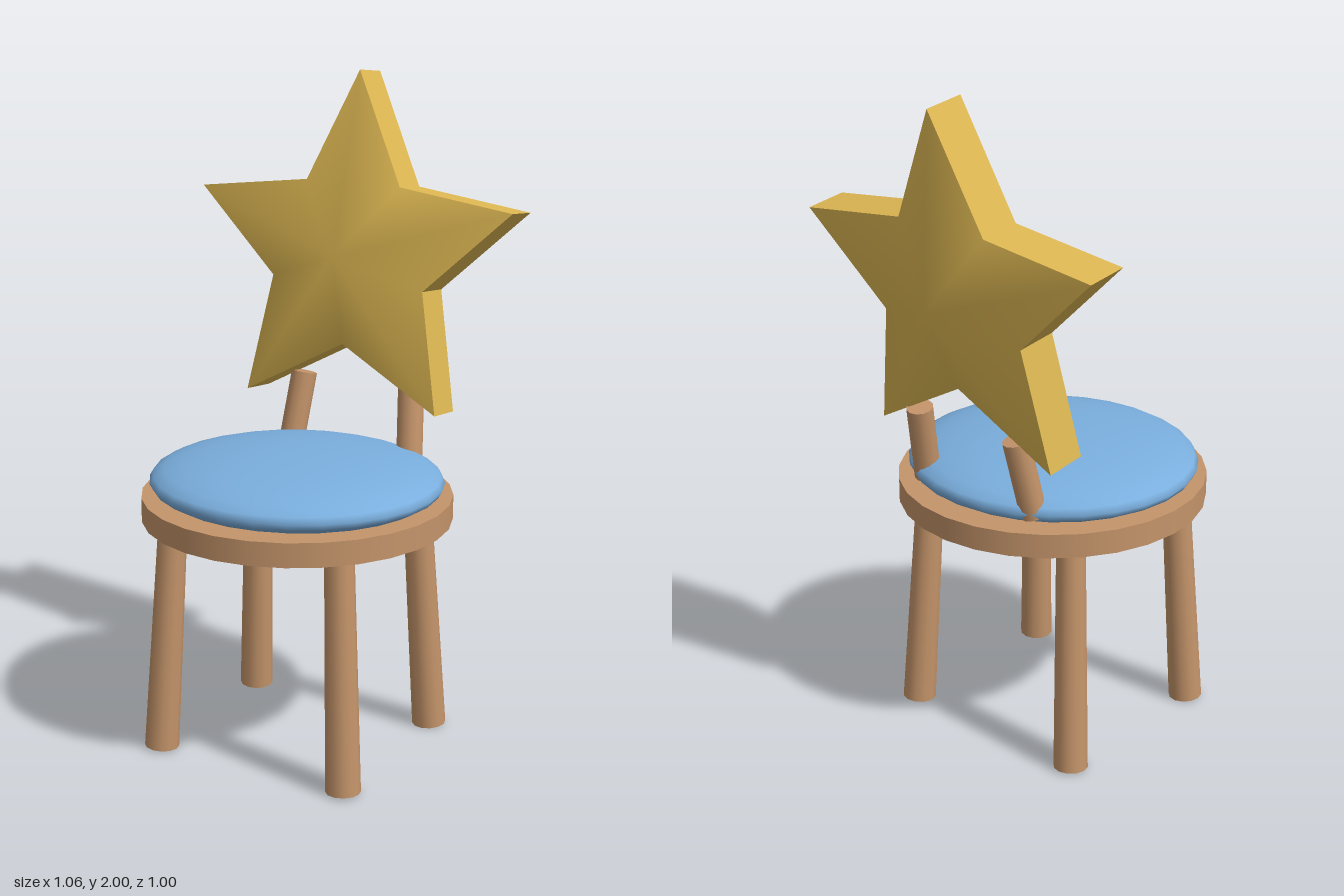
import * as THREE from 'three';

const wood = new THREE.MeshStandardMaterial({ name: 'wood', color: 0xc4946a });
const gold = new THREE.MeshStandardMaterial({ name: 'gold', color: 0xdeb853 });
const blue = new THREE.MeshStandardMaterial({ name: 'cushion blue', color: 0x7aaedd });

function addMesh(parent, name, geometry, material) {
  const mesh = new THREE.Mesh(geometry, material);
  mesh.name = name;
  parent.add(mesh);
  return mesh;
}

// Round rod running from one point to another
function addRod(parent, name, from, to, rFrom, rTo) {
  const a = new THREE.Vector3(...from), b = new THREE.Vector3(...to);
  const dir = b.clone().sub(a);
  const rod = addMesh(parent, name, new THREE.CylinderGeometry(rTo, rFrom, dir.length(), 12), wood);
  rod.position.copy(a).add(b).multiplyScalar(0.5);
  rod.quaternion.setFromUnitVectors(new THREE.Vector3(0, 1, 0), dir.normalize());
}

function makeGeometry(positions, index) {
  const g = new THREE.BufferGeometry();
  g.setAttribute('position', new THREE.Float32BufferAttribute(positions, 3));
  if (index) g.setIndex(index);
  g.computeVertexNormals();
  return g;
}

// Star: puffed smooth front and back fans, joined by a flat-sided rim
function makeStar(outer, inner, rim, peak) {
  const star = new THREE.Group();
  star.name = 'starBackrest';
  const pts = Array.from({ length: 10 }, (_, i) => {
    const a = Math.PI / 2 + (i * Math.PI) / 5, r = i % 2 ? inner : outer;
    return [Math.cos(a) * r, Math.sin(a) * r];
  });
  for (const side of [1, -1]) {
    const pos = [0, 0, side * peak], index = [];
    pts.forEach(([x, y], i) => {
      const p = i + 1, q = ((i + 1) % 10) + 1;
      pos.push(x, y, side * rim);
      index.push(0, ...(side > 0 ? [p, q] : [q, p]));
    });
    addMesh(star, side > 0 ? 'starFront' : 'starBack', makeGeometry(pos, index), gold);
  }
  const edge = [];
  pts.forEach((p, i) => {
    const q = pts[(i + 1) % 10];
    edge.push(...p, rim, ...p, -rim, ...q, -rim, ...p, rim, ...q, -rim, ...q, rim);
  });
  addMesh(star, 'starRim', makeGeometry(edge), gold);
  return star;
}

export function createModel() {
  const chair = new THREE.Group();
  chair.name = 'starChair';

  // Seat disc and cushion
  const seat = addMesh(chair, 'seat', new THREE.CylinderGeometry(0.465, 0.465, 0.073, 28), wood);
  seat.position.set(0, 0.753, 0.035);
  const cushion = addMesh(chair, 'cushion', new THREE.SphereGeometry(1, 28, 14), blue);
  cushion.scale.set(0.445, 0.087, 0.425);
  cushion.position.set(0, 0.83, 0.038);

  // Splayed tapered legs and leaning back posts
  for (const s of [1, -1]) {
    const label = s > 0 ? 'Left' : 'Right';
    addRod(chair, 'front' + label + 'Leg', [s * 0.315, 0.005, 0.315], [s * 0.28, 0.74, 0.282], 0.052, 0.043);
    addRod(chair, 'back' + label + 'Leg', [s * 0.315, 0.005, -0.242], [s * 0.28, 0.74, -0.205], 0.052, 0.043);
    addRod(chair, 'back' + label + 'Post', [s * 0.21, 0.815, -0.287], [s * 0.188, 1.052, -0.336], 0.04, 0.04);
  }

  // Star backrest, tilted back
  const star = makeStar(0.555, 0.27, 0.065, 0.164);
  star.position.set(0, 1.443, -0.337);
  star.rotation.x = -0.122;
  chair.add(star);

  return chair;
}
